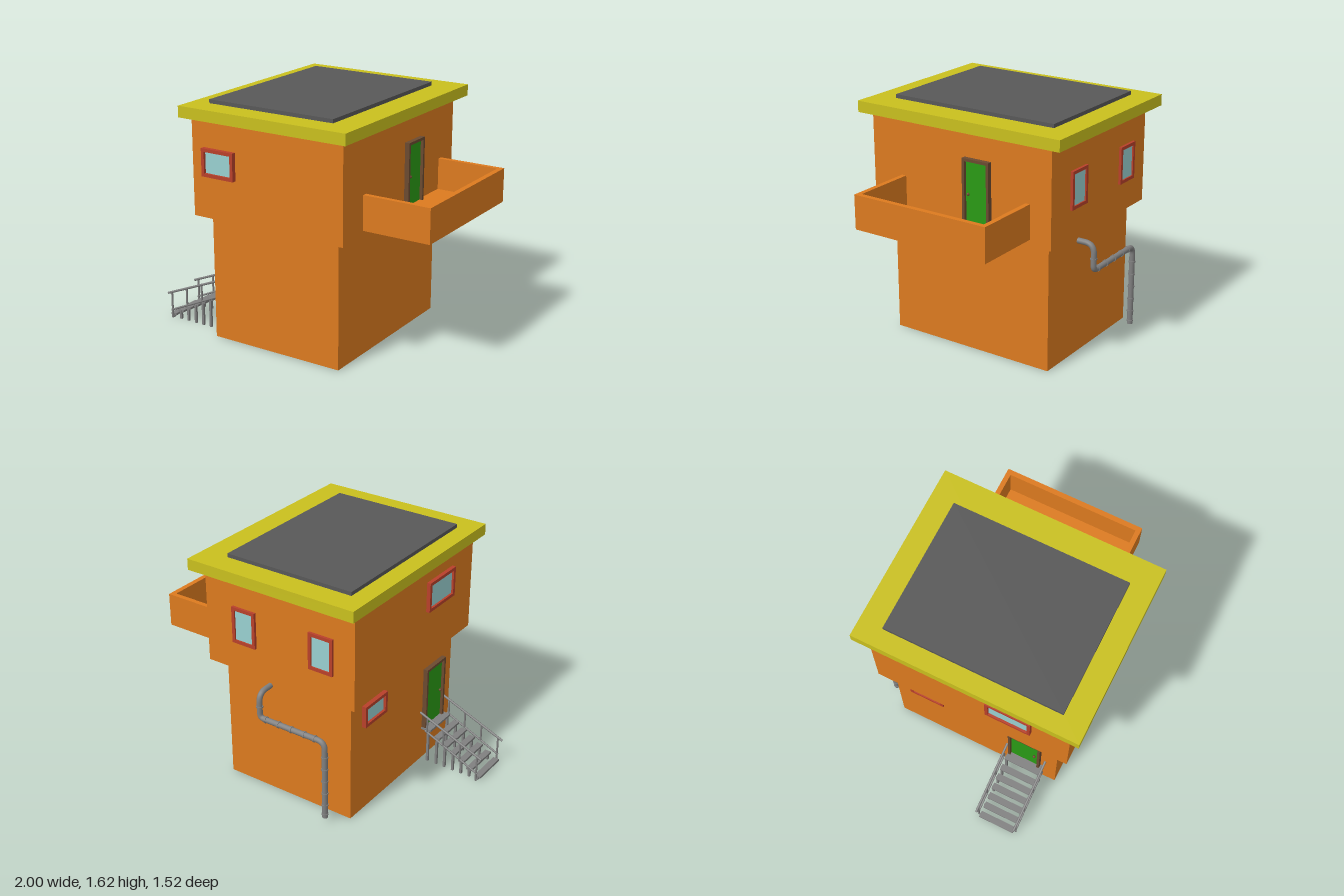
import * as THREE from 'three';

const mat = (color, side = THREE.FrontSide) => new THREE.MeshStandardMaterial({ color, side });
const ORANGE = mat(0xdc7a1f), YELLOW = mat(0xc9c01e), SLATE = mat(0x585858), RED = mat(0xb8402a);
const GLASS = mat(0x99d0d0), BROWN = mat(0x6b4a30), GREEN = mat(0x2a9a15), STEEL = mat(0x808080);

function add(parent, name, geometry, material) {
  const mesh = new THREE.Mesh(geometry, material);
  mesh.name = name;
  parent.add(mesh);
  return mesh;
}

// Box given by its minimum and maximum on each axis
function box(parent, name, material, x0, x1, y0, y1, z0, z1) {
  const mesh = add(parent, name, new THREE.BoxGeometry(x1 - x0, y1 - y0, z1 - z0), material);
  mesh.position.set((x0 + x1) / 2, (y0 + y1) / 2, (z0 + z1) / 2);
  return mesh;
}

// Straight round bar between two points
function bar(parent, name, a, b, r, material = STEEL, sides = 8) {
  const dir = new THREE.Vector3().subVectors(b, a);
  const mesh = add(parent, name, new THREE.CylinderGeometry(r, r, dir.length(), sides), material);
  mesh.position.addVectors(a, b).multiplyScalar(0.5);
  mesh.quaternion.setFromUnitVectors(new THREE.Vector3(0, 1, 0), dir.normalize());
  return mesh;
}

function group(parent, name) {
  const g = new THREE.Group();
  g.name = name;
  parent.add(g);
  return g;
}

const V = (x, y, z) => new THREE.Vector3(x, y, z);

// Rectangular frame facing +z, centred on x, with its back at z = 0
function frame(parent, name, w, h, border, depth, material) {
  const rect = (P, a, b) => new P([[-a, -b], [a, -b], [a, b], [-a, b]].map(p => new THREE.Vector2(...p)));
  const shape = rect(THREE.Shape, w / 2, h / 2);
  shape.holes.push(rect(THREE.Path, w / 2 - border, h / 2 - border));
  return add(parent, name, new THREE.ExtrudeGeometry(shape, { depth, bevelEnabled: false }), material);
}

function addWindow(parent, name, w, h, depth, position, turn) {
  const g = group(parent, name);
  frame(g, 'windowFrame', w, h, 0.022, depth, RED);
  box(g, 'windowGlass', GLASS, -w / 2 + 0.02, w / 2 - 0.02, -h / 2 + 0.02, h / 2 - 0.02, -0.005, depth * 0.45);
  g.position.copy(position);
  g.rotation.y = turn;
}

// Door with its sill at y = 0, facing +z
function addDoor(parent, name, w, h, position, turn, knobX) {
  const g = group(parent, name), b = 0.018, d = 0.032;
  for (const s of [-1, 1]) {
    const x = s * (w / 2 - b / 2);
    box(g, 'doorJamb', BROWN, x - b / 2, x + b / 2, 0, h, -0.012, d);
  }
  box(g, 'doorLintel', BROWN, -w / 2 + b, w / 2 - b, h - b, h, -0.012, d);
  box(g, 'doorLeaf', GREEN, -w / 2 + b, w / 2 - b, 0, h - b, -0.008, 0.012);
  add(g, 'doorKnob', new THREE.SphereGeometry(0.01, 10, 8), BROWN).position.set(knobX, h * 0.46, 0.022);
  g.position.copy(position);
  g.rotation.y = turn;
}

function addStairs(parent) {
  const g = group(parent, 'stairs');
  const slope = 0.46;
  const railY = x => 0.175 + (x + 1) * 0.417;
  const stepY = x => 0.025 + (x + 0.97) * 0.56;
  // Treads with a pair of legs each
  for (let i = 0; i < 6; i++) {
    const x = -0.97 + i * 0.065, y = stepY(x);
    box(g, 'tread', STEEL, x - 0.022, x + 0.022, y - 0.012, y + 0.004, 0.245, 0.505);
    for (const z of [0.25, 0.5])
      box(g, 'treadLeg', STEEL, x - 0.008, x + 0.008, 0, y, z - 0.008, z + 0.008);
  }
  box(g, 'landing', STEEL, -0.595, -0.52, 0.235, 0.25, 0.245, 0.505);
  for (const z of [0.25, 0.5])
    box(g, 'landingLeg', STEEL, -0.583, -0.567, 0, 0.24, z - 0.008, z + 0.008);
  // Handrails, stringers and posts on both sides
  for (const z of [0.23, 0.517]) {
    bar(g, 'handrail', V(-1, railY(-1), z), V(-0.505, railY(-0.505), z), 0.008);
    bar(g, 'stringer', V(-0.975, 0.055, z), V(-0.56, 0.055 + 0.415 * slope, z), 0.007);
    for (const x of [-0.967, -0.836, -0.705, -0.576])
      bar(g, 'railPost', V(x, x < -0.9 ? 0 : 0.055 + (x + 0.975) * slope, z), V(x, railY(x), z), 0.007);
  }
}

function addDrainpipe(parent) {
  const g = group(parent, 'drainpipe');
  const r = 0.019, z = -0.717, xa = 0.1, xb = -0.405, y = 0.6;
  const corners = [V(xa, 0.78, -0.59), V(xa, 0.78, z), V(xa, y, z), V(xb, y, z), V(xb, 0.035, z)];
  const bends = [0, 0.065, 0.035, 0.055, 0];
  // Straight runs joined by rounded elbows
  const path = new THREE.CurvePath();
  let from = corners[0];
  for (let i = 1; i < 4; i++) {
    const c = corners[i];
    const a = c.clone().add(corners[i - 1].clone().sub(c).setLength(bends[i]));
    const b = c.clone().add(corners[i + 1].clone().sub(c).setLength(bends[i]));
    path.add(new THREE.LineCurve3(from, a));
    path.add(new THREE.QuadraticBezierCurve3(a, c, b));
    from = b;
  }
  path.add(new THREE.LineCurve3(from, corners[4]));
  add(g, 'pipe', new THREE.TubeGeometry(path, 120, r, 12), mat(0x808080, THREE.DoubleSide));
  // Collars
  for (const cy of [0.06, 0.13, 0.22, 0.31, 0.4, 0.49])
    bar(g, 'collar', V(xb, cy - 0.005, z), V(xb, cy + 0.005, z), 0.023, STEEL, 12);
  bar(g, 'collar', V(xa, 0.675, z), V(xa, 0.685, z), 0.023, STEEL, 12);
  for (const cx of [0.05, -0.05, -0.15, -0.25, -0.33])
    bar(g, 'collar', V(cx - 0.005, y, z), V(cx + 0.005, y, z), 0.023, STEEL, 12);
}

export function createModel() {
  const model = new THREE.Group();
  model.name = 'towerHouse';

  // Lower storey: four walls, open at top and bottom
  const walls = box(model, 'lowerWalls', mat(0xdc7a1f, THREE.DoubleSide), -0.52, 0.445, 0, 0.866, -0.6, 0.6);
  const index = Array.from(walls.geometry.index.array);
  walls.geometry.setIndex([...index.slice(0, 12), ...index.slice(24)]);
  walls.geometry.clearGroups();

  // Upper storey and roof
  box(model, 'upperStorey', ORANGE, -0.595, 0.535, 0.865, 1.52, -0.672, 0.69);
  box(model, 'roofSlab', YELLOW, -0.643, 0.595, 1.52, 1.595, -0.762, 0.762);
  box(model, 'roofPanel', SLATE, -0.52, 0.407, 1.59, 1.62, -0.602, 0.602);

  // Balcony on the left side
  const balcony = group(model, 'balcony');
  box(balcony, 'balconyFloor', ORANGE, 0.535, 1, 0.908, 0.925, -0.52, 0.465);
  box(balcony, 'balconyFront', ORANGE, 0.965, 1, 0.925, 1.137, -0.52, 0.465);
  box(balcony, 'balconySide', ORANGE, 0.535, 0.965, 0.925, 1.137, -0.52, -0.487);
  box(balcony, 'balconySide', ORANGE, 0.535, 0.965, 0.925, 1.137, 0.432, 0.465);

  // Windows and doors
  const Q = Math.PI / 2;
  addWindow(model, 'frontWindow', 0.245, 0.185, 0.03, V(-0.383, 1.24, 0.69), 0);
  addWindow(model, 'upperSideWindow', 0.31, 0.205, 0.026, V(-0.595, 1.307, 0.28), -Q);
  addWindow(model, 'lowerSideWindow', 0.245, 0.15, 0.03, V(-0.52, 0.706, -0.355), -Q);
  for (const x of [0.233, -0.353])
    addWindow(model, 'backWindow', 0.178, 0.25, 0.018, V(x, 1.19, -0.672), Math.PI);
  addDoor(model, 'balconyDoor', 0.2, 0.43, V(0.535, 0.92, -0.135), Q, -0.06);
  addDoor(model, 'entranceDoor', 0.235, 0.45, V(-0.52, 0.25, 0.367), -Q, 0.075);

  addStairs(model);
  addDrainpipe(model);
  return model;
}
